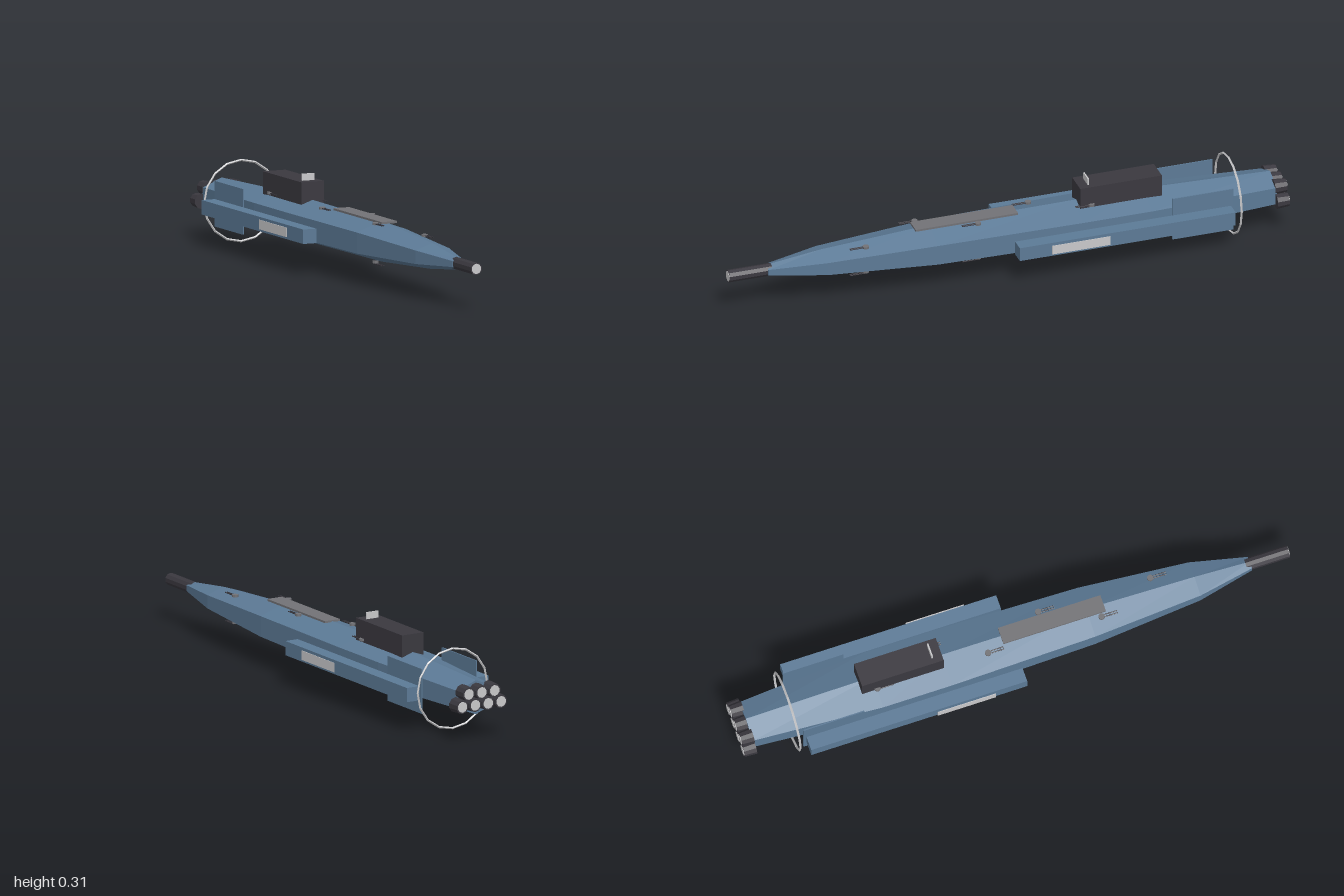
import * as THREE from 'three';

const CY = 0.145; // height of the long axis

function mat(name, color, extra = {}) {
  const m = new THREE.MeshStandardMaterial({ color, flatShading: true, ...extra });
  m.name = name;
  return m;
}

// Hexagonal hull lofted through [z, halfWidth, apexHeight] sections, front to back
function hullGeometry(sections) {
  const rings = sections.map(([z, w, h]) =>
    [[w, -h * 0.52], [w, h * 0.52], [0, h], [-w, h * 0.52], [-w, -h * 0.52], [0, -h]]
      .map(([x, y]) => [x, y + CY, z]));
  const pos = [];
  const tri = (a, b, c) => pos.push(...a, ...b, ...c);
  for (let i = 0; i < rings.length - 1; i++) {
    const a = rings[i], b = rings[i + 1];
    for (let j = 0; j < 6; j++) {
      const k = (j + 1) % 6;
      tri(a[j], b[j], b[k]);
      tri(a[j], b[k], a[k]);
    }
  }
  const f = rings[0], r = rings[rings.length - 1];
  for (let j = 1; j < 5; j++) {
    tri(f[0], f[j], f[j + 1]);
    tri(r[0], r[j + 1], r[j]);
  }
  const g = new THREE.BufferGeometry();
  g.setAttribute('position', new THREE.Float32BufferAttribute(pos, 3));
  g.computeVertexNormals();
  return g;
}

export function createModel() {
  const model = new THREE.Group();
  model.name = 'spaceship';
  const blue = mat('hull blue', 0x5c7a96);
  const dark = mat('dark metal', 0x3a383f);
  const grey = mat('deck grey', 0x727276);
  const light = mat('light grey', 0xc9c9cb);

  const add = (name, geo, material, x = 0, y = 0, z = 0, parent = model) => {
    const m = new THREE.Mesh(geo, material);
    m.name = name;
    m.position.set(x, y, z);
    parent.add(m);
    return m;
  };
  const box = (name, material, [x0, x1], [y0, y1], [z0, z1]) =>
    add(name, new THREE.BoxGeometry(x1 - x0, y1 - y0, z1 - z0), material,
      (x0 + x1) / 2, (y0 + y1) / 2, (z0 + z1) / 2);
  // Cylinder along z
  const rod = (rFront, rBack, len, sides) =>
    new THREE.CylinderGeometry(rFront, rBack, len, sides).rotateX(Math.PI / 2);

  add('hull', hullGeometry([
    [0.86, 0.022, 0.02],
    [0.66, 0.064, 0.045],
    [0.27, 0.094, 0.07],
    [-0.25, 0.105, 0.074],
    [-0.5, 0.105, 0.075],
    [-0.96, 0.074, 0.06],
  ]), blue);

  // Nose gun with a bright muzzle
  add('noseGun', rod(0.022, 0.022, 0.155, 10), dark, 0, CY, 0.921);
  add('noseMuzzle', rod(0.018, 0.018, 0.004, 10), light, 0, CY, 0.998);

  // Engine cluster: three above four
  const engines = new THREE.Group();
  engines.name = 'engines';
  model.add(engines);
  const engine = (x, y) => {
    add('engineBell', rod(0.027, 0.024, 0.044, 10), dark, x, y, -0.976, engines);
    add('engineGlow', rod(0.019, 0.019, 0.004, 10), light, x, y, -0.998, engines);
  };
  [-1, 0, 1].forEach((i) => engine(i * 0.052, 0.17));
  [-1.5, -0.5, 0.5, 1.5].forEach((i) => engine(i * 0.052, 0.128));

  // Stern ring, one corner pointing straight down
  add('sternRing', new THREE.TorusGeometry(0.1405, 0.004, 4, 16), light, 0, 0.1445, -0.81);

  // Bridge block and its sensor plate
  box('bridge', dark, [-0.043, 0.043], [0.2, 0.282], [-0.555, -0.26]);
  box('sensorPlate', light, [-0.024, 0.024], [0.28, 0.306], [-0.298, -0.293]);
  box('deckPlate', grey, [-0.03, 0.03], [0.214, 0.221], [-0.04, 0.33]);

  // Side pods, their light panels and the upright fins
  for (const s of [-1, 1]) {
    const span = (a, b) => (s > 0 ? [a, b] : [-b, -a]);
    box('sidePod', blue, span(0.115, 0.165), [0.111, 0.161], [-0.78, 0]);
    box('podPanel', light, span(0.17, 0.172), [0.12, 0.153], [-0.325, -0.115]);
    box('sternFin', blue, span(0.108, 0.112), [0.065, 0.223], [-0.79, -0.57]);
  }

  // Small twin-barrelled turrets along the deck and belly
  const turret = (x, z, side) => {
    const t = new THREE.Group();
    t.name = side > 0 ? 'deckTurret' : 'bellyTurret';
    const off = z > 0.4 ? 0.05 : 0.069;
    t.position.set(x, CY + side * off, z);
    model.add(t);
    add('turretBase', new THREE.CylinderGeometry(0.011, 0.011, 0.008, 10), grey,
      0, side > 0 ? 0 : 0.006, 0, t);
    for (const b of [-0.004, 0.004]) {
      add('turretBarrel', rod(0.002, 0.002, 0.055, 6), dark, b, 0, 0.03, t);
    }
  };
  for (const z of [-0.5, -0.1, 0.31]) turret(-0.043, z, 1);
  for (const z of [-0.3, 0.11, 0.515]) {
    turret(0.043, z, 1);
    turret(0.043, z, -1);
  }
  turret(-0.043, 0.31, -1);

  return model;
}
